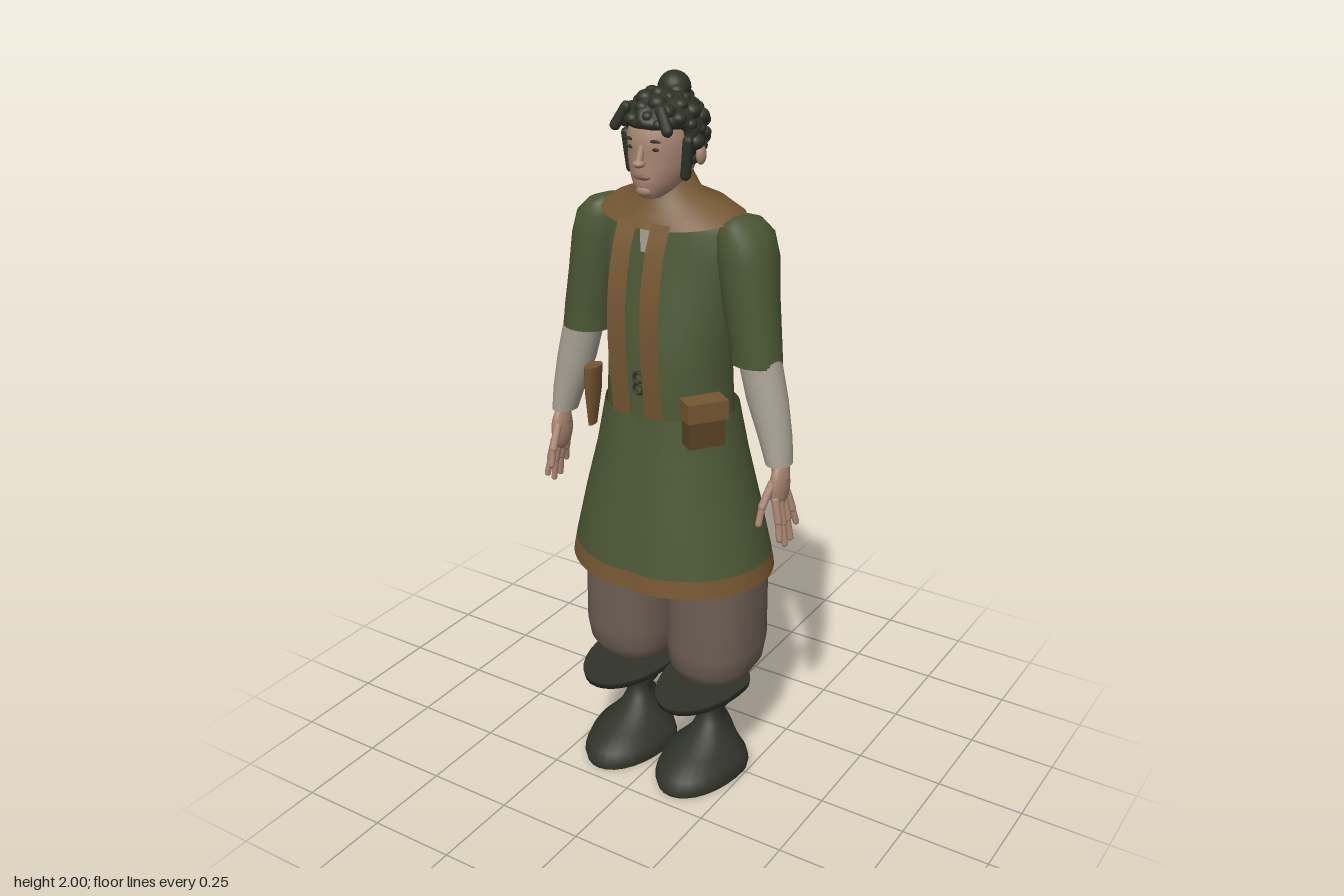
import * as THREE from 'three';
import { mergeGeometries } from 'three/addons/utils/BufferGeometryUtils.js';

const mat = (name, color, side = THREE.FrontSide) => {
  const m = new THREE.MeshStandardMaterial({ color, side });
  m.name = name;
  return m;
};

// Lofted skin through horizontal rings, top to bottom: [y, x, z, rx, frontRz, backRz]
function loft(rings, { seg = 32, pow = 1, caps = true, warp = null } = {}) {
  const pos = [], idx = [];
  const addRing = ([y, cx, cz, rx, rf, rb = rf]) => {
    for (let i = 0; i < seg; i++) {
      const t = (i / seg) * Math.PI * 2, s = Math.sin(t), c = Math.cos(t);
      const p = new THREE.Vector3(
        cx + Math.sign(s) * Math.abs(s) ** pow * rx, y,
        cz + Math.sign(c) * Math.abs(c) ** pow * (c > 0 ? rf : rb));
      if (warp) warp(p, t);
      pos.push(p.x, p.y, p.z);
    }
  };
  rings.forEach(addRing);
  for (let j = 0; j < rings.length - 1; j++) {
    for (let i = 0; i < seg; i++) {
      const a = j * seg + i, b = j * seg + (i + 1) % seg;
      idx.push(a, a + seg, b + seg, a, b + seg, b);
    }
  }
  if (caps) {
    [rings[0], rings[rings.length - 1]].forEach((r, k) => {
      const base = pos.length / 3;
      addRing(r);
      pos.push(r[1], r[0], r[2]);
      for (let i = 0; i < seg; i++) {
        const a = base + i, b = base + (i + 1) % seg;
        idx.push(base + seg, k ? b : a, k ? a : b);
      }
    });
  }
  const g = new THREE.BufferGeometry();
  g.setAttribute('position', new THREE.Float32BufferAttribute(pos, 3));
  g.setIndex(idx);
  g.computeVertexNormals();
  return g;
}

// Rounded rod between two points
function rod(a, b, r) {
  const A = new THREE.Vector3(...a), B = new THREE.Vector3(...b), d = B.clone().sub(A);
  const g = new THREE.CapsuleGeometry(r, d.length(), 5, 10);
  g.applyQuaternion(new THREE.Quaternion().setFromUnitVectors(new THREE.Vector3(0, 1, 0), d.normalize()));
  return g.translate(...A.add(B).multiplyScalar(0.5).toArray());
}

const blob = (x, y, z, rx, ry, rz) =>
  new THREE.SphereGeometry(1, 20, 14).scale(rx, ry, rz).translate(x, y, z);

// Curly hair: lumpy shell pressed in over the face, plus curls spread on a spiral
function hairGeometry() {
  const C = [0, 1.86, 0.04], R = [0.1, 0.107, 0.118];
  const faceCut = (d) =>
    THREE.MathUtils.smoothstep(d.z, 0.28, 0.45) * (1 - THREE.MathUtils.smoothstep(d.y, 0.12, 0.28));
  const shell = new THREE.SphereGeometry(1, 56, 40);
  const p = shell.attributes.position, d = new THREE.Vector3();
  for (let i = 0; i < p.count; i++) {
    d.fromBufferAttribute(p, i);
    const lump = 0.035 * Math.sin(d.x * 13 + d.y * 5) * Math.sin(d.y * 12 + d.z * 9);
    d.multiplyScalar((1 + lump) * (1 - 0.42 * faceCut(d)));
    p.setXYZ(i, C[0] + d.x * R[0], C[1] + d.y * R[1], C[2] + d.z * R[2]);
  }
  shell.computeVertexNormals();
  const parts = [shell];
  for (let i = 0; i < 75; i++) {
    const y = 0.97 - (i / 75) * 1.6, h = Math.sqrt(1 - y * y), t = i * 2.4;
    d.set(h * Math.sin(t), y, h * Math.cos(t));
    if (faceCut(d) > 0.05) continue;
    const r = 0.02 + 0.005 * Math.sin(i * 1.7);
    parts.push(blob(C[0] + d.x * R[0] * 0.92, C[1] + d.y * R[1] * 0.92, C[2] + d.z * R[2] * 0.92, r, r * 0.85, r));
  }
  for (const s of [1, -1]) {
    parts.push(rod([s * 0.05, 1.93, 0.135], [s * 0.075, 1.885, 0.145], 0.014)); // fringe locks
    parts.push(rod([s * 0.09, 1.85, 0.075], [s * 0.08, 1.765, 0.07], 0.014)); // side locks
  }
  return mergeGeometries(parts);
}

export function createModel() {
  const model = new THREE.Group();
  model.name = 'figure';
  const M = {
    green: mat('tunicGreen', 0x4b5735, THREE.DoubleSide),
    brown: mat('trimBrown', 0x755732, THREE.DoubleSide),
    leather: mat('pouchLeather', 0x5c4326),
    skin: mat('skin', 0xa98673),
    lips: mat('lips', 0x8a5c50),
    hair: mat('hairDark', 0x2f3226),
    boot: mat('bootDark', 0x31342a),
    cream: mat('shirtCream', 0xa9a394),
    trouser: mat('trouserTaupe', 0x6d5e54),
  };
  const add = (name, geo, m, parent = model) => {
    const mesh = new THREE.Mesh(geo, m);
    mesh.name = name;
    parent.add(mesh);
    return mesh;
  };

  // Tunic body
  add('tunicBody', loft([
    [1.71, 0, 0.02, 0.07, 0.05, 0.05], [1.66, 0, 0, 0.16, 0.08, 0.1], [1.62, 0, 0, 0.21, 0.09, 0.115],
    [1.55, 0, 0, 0.21, 0.1, 0.12], [1.45, 0, 0, 0.195, 0.12, 0.105], [1.35, 0, 0, 0.185, 0.145, 0.085],
    [1.25, 0, 0, 0.178, 0.16, 0.085], [1.11, 0, 0, 0.182, 0.163, 0.105]]), M.green);

  // Flared skirt with a soft centre crease and a hem band
  const crease = (p) => { p.z *= 1 - 0.05 * Math.exp(-((p.x / 0.04) ** 2)); };
  const open = { seg: 48, caps: false, warp: crease };
  add('skirt', loft([[1.135, 0, 0, 0.188, 0.168, 0.15], [1.0, 0, 0, 0.215, 0.185, 0.177],
    [0.85, 0, 0, 0.253, 0.214, 0.206], [0.705, 0, 0, 0.286, 0.238, 0.236]], open), M.green);
  add('skirtHem', loft([[0.705, 0, 0, 0.286, 0.238, 0.236], [0.655, 0, 0, 0.295, 0.245, 0.245]], open), M.brown);

  // Cape collar, lower in front
  add('collar', loft([[1.757, 0, 0.03, 0.066, 0.065, 0.07], [1.715, 0, 0.025, 0.09, 0.085, 0.08],
    [1.69, 0, 0.01, 0.15, 0.115, 0.115], [1.66, 0, 0, 0.202, 0.14, 0.128]], {
    seg: 40, caps: false,
    warp: (p, t) => {
      p.y -= 0.028 * Math.max(0, Math.cos(t));
      if (p.z < 0) crease(p);
    } }), M.brown);

  // Bowed front bands
  const bow = new THREE.CatmullRomCurve3([[1.65, 0.135], [1.58, 0.165], [1.45, 0.192], [1.3, 0.19], [1.14, 0.172]]
    .map(([y, z]) => new THREE.Vector3(0, y, z)));
  for (const s of [1, -1]) {
    const g = new THREE.PlaneGeometry(0.055, 1, 1, 16), p = g.attributes.position;
    for (let i = 0; i < p.count; i++) {
      const c = bow.getPoint(0.5 - p.getY(i));
      p.setXYZ(i, p.getX(i) + s * 0.049, c.y, c.z);
    }
    g.computeVertexNormals();
    add('frontBand', g, M.brown);
  }
  add('shirtFront', new THREE.BoxGeometry(0.032, 0.07, 0.008).translate(0, 1.605, 0.125), M.cream);
  for (const y of [1.215, 1.245])
    add('clasp', new THREE.TorusGeometry(0.014, 0.005, 6, 16).translate(0, y, 0.167), M.boot);

  // Head
  add('neck', new THREE.CylinderGeometry(0.052, 0.058, 0.12, 24).translate(0, 1.72, 0.035), M.skin);
  add('head', loft([[1.94, 0, 0.04, 0.04, 0.05], [1.9, 0, 0.04, 0.076, 0.095, 0.08],
    [1.86, 0, 0.04, 0.084, 0.112, 0.09], [1.825, 0, 0.04, 0.084, 0.106, 0.09],
    [1.79, 0, 0.04, 0.081, 0.108, 0.085], [1.755, 0, 0.045, 0.07, 0.102, 0.07],
    [1.725, 0, 0.055, 0.05, 0.09, 0.05], [1.708, 0, 0.07, 0.03, 0.06, 0.03]]), M.skin);
  add('nose', mergeGeometries([rod([0, 1.84, 0.142], [0, 1.805, 0.156], 0.009),
    blob(0, 1.8, 0.156, 0.016, 0.01, 0.016)]), M.skin);
  add('mouth', blob(0, 1.765, 0.145, 0.024, 0.007, 0.007), M.lips);
  add('chin', blob(0, 1.73, 0.128, 0.025, 0.018, 0.02), M.skin);
  for (const s of [1, -1]) {
    add('eye', blob(s * 0.033, 1.835, 0.137, 0.013, 0.005, 0.004), M.hair);
    add('brow', blob(s * 0.035, 1.856, 0.142, 0.02, 0.004, 0.004), M.hair);
    add('ear', blob(s * 0.1, 1.81, 0.03, 0.012, 0.025, 0.017), M.skin);
  }
  add('hair', hairGeometry(), M.hair);
  add('hairBun', blob(0, 1.958, -0.005, 0.042, 0.042, 0.042), M.hair);

  for (const s of [1, -1]) {
    // Arms
    add('sleeve', loft([[1.664, s * 0.2, 0, 0.015, 0.03], [1.652, s * 0.205, 0, 0.045, 0.065],
      [1.62, s * 0.212, 0, 0.07, 0.08, 0.09], [1.56, s * 0.222, 0.002, 0.077, 0.082, 0.095],
      [1.45, s * 0.238, 0.01, 0.074, 0.072, 0.078], [1.36, s * 0.256, 0.015, 0.069, 0.065],
      [1.295, s * 0.263, 0.018, 0.069, 0.063]]), M.green);
    add('shirtSleeve', loft([[1.32, s * 0.27, 0.02, 0.058, 0.053], [1.2, s * 0.3, 0.022, 0.056, 0.05],
      [1.1, s * 0.328, 0.025, 0.044, 0.045], [1.035, s * 0.342, 0.027, 0.034, 0.042]]), M.cream);

    // Hands
    const hand = [blob(s * 0.35, 0.975, 0.035, 0.022, 0.065, 0.042),
      rod([s * 0.346, 1.05, 0.028], [s * 0.35, 1.0, 0.03], 0.024),
      rod([s * 0.343, 0.99, 0.065], [s * 0.335, 0.935, 0.1], 0.011),
      rod([s * 0.335, 0.935, 0.1], [s * 0.333, 0.89, 0.113], 0.009)];
    [0.84, 0.815, 0.82, 0.855].forEach((tip, i) => {
      const z = 0.066 - i * 0.021, mid = [s * 0.368, (0.935 + tip) / 2, z + 0.004 - i * 0.004];
      hand.push(rod([s * 0.355, 0.945, z], mid, 0.011));
      hand.push(rod(mid, [s * 0.376, tip, z + 0.01 - i * 0.009], 0.009));
    });
    add('hand', mergeGeometries(hand), M.skin);

    // Baggy trouser legs
    add('trouserLeg', loft([[1.08, s * 0.09, -0.01, 0.085, 0.11], [0.85, s * 0.115, -0.015, 0.112, 0.14],
      [0.68, s * 0.136, -0.017, 0.13, 0.148], [0.42, s * 0.137, -0.017, 0.131, 0.148],
      [0.36, s * 0.135, -0.017, 0.124, 0.138], [0.325, s * 0.132, -0.017, 0.105, 0.118],
      [0.31, s * 0.13, -0.017, 0.085, 0.1]], { pow: 0.85 }), M.trouser);
    add('ankle', new THREE.CylinderGeometry(0.055, 0.05, 0.05, 20).translate(s * 0.125, 0.302, -0.03), M.skin);

    // Boots with wide flat cuffs
    const x = s * 0.124;
    add('bootCuff', loft([[0.3, x, 0, 0.122, 0.22, 0.1], [0.282, x, 0, 0.12, 0.215, 0.1],
      [0.27, x, 0, 0.095, 0.12, 0.098], [0.24, x, -0.01, 0.062, 0.04, 0.08],
      [0.222, x, -0.01, 0.05, 0.03, 0.035]]), M.boot);
    add('boot', loft([[0.235, x, -0.005, 0.05, 0.03], [0.215, x, -0.005, 0.045, 0.028, 0.04],
      [0.2, x, -0.005, 0.052, 0.035, 0.075], [0.178, x, -0.008, 0.032, 0.025, 0.028],
      [0.14, x, -0.01, 0.043, 0.04, 0.065], [0.105, x, -0.01, 0.058, 0.075, 0.08],
      [0.075, x, 0, 0.085, 0.14, 0.09], [0.045, x, 0, 0.115, 0.2, 0.098],
      [0.02, x, 0, 0.123, 0.22, 0.1], [0, x, 0, 0.119, 0.215, 0.096]]), M.boot);
  }

  // Hip pouch with a flap
  const pouch = new THREE.Group();
  pouch.name = 'pouch';
  pouch.position.set(0.176, 1.15, 0.132);
  pouch.rotation.y = 0.95;
  model.add(pouch);
  add('pouchBody', new THREE.BoxGeometry(0.1, 0.115, 0.052).translate(0, -0.005, 0), M.leather, pouch);
  add('pouchFlap', new THREE.BoxGeometry(0.112, 0.052, 0.062).translate(0, 0.037, 0), M.brown, pouch);

  // Sheath on the other hip
  add('sheath', loft([[1.22, -0.187, 0.105, 0.018, 0.035], [1.15, -0.188, 0.105, 0.016, 0.033],
    [1.045, -0.196, 0.1, 0.007, 0.018]], { seg: 12 }), M.brown);
  return model;
}
